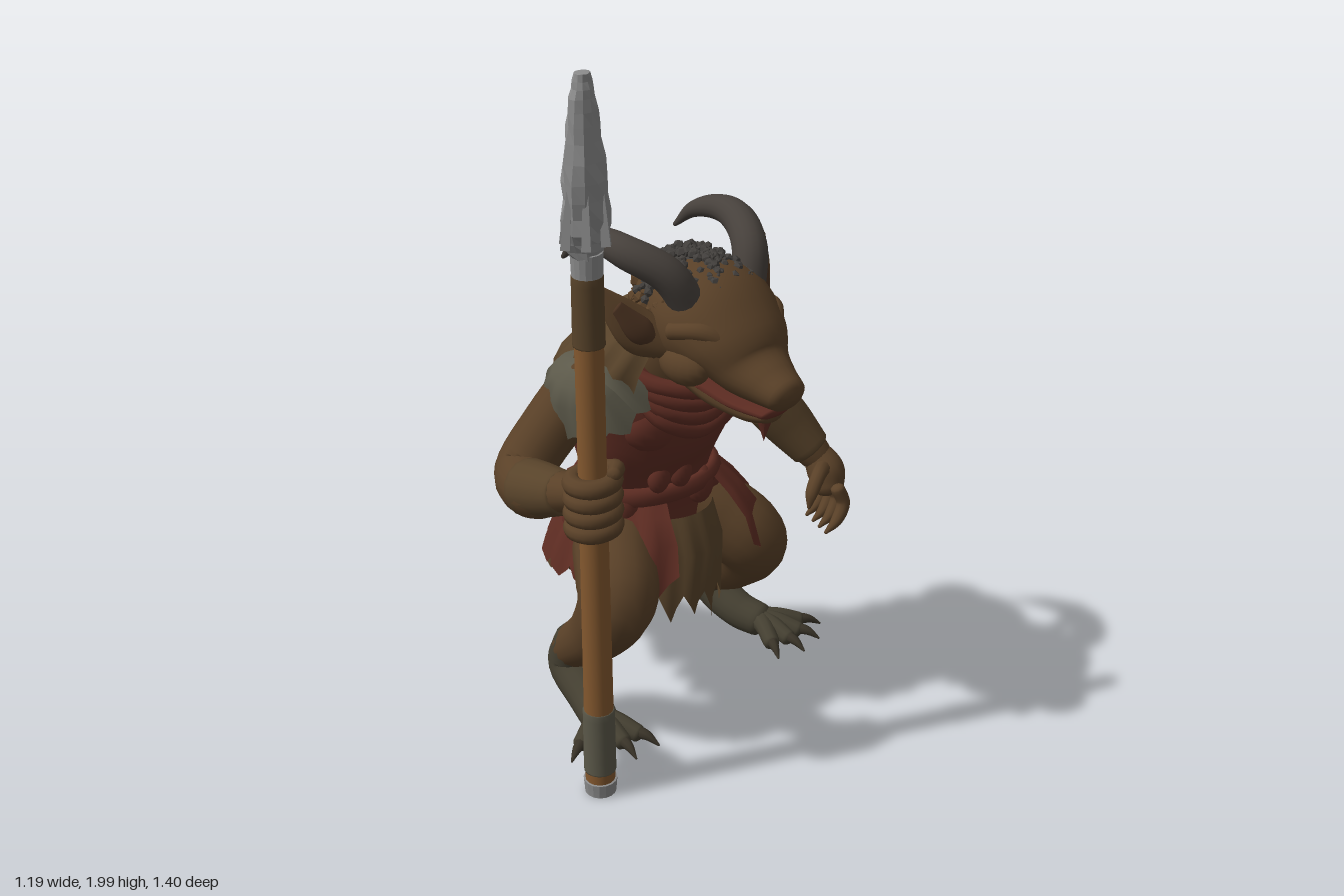
import * as THREE from 'three';
import { mergeGeometries } from 'three/addons/utils/BufferGeometryUtils.js';

const V = (x, y, z) => new THREE.Vector3(x, y, z);
const paint = (color, extra = {}) => Object.assign(new THREE.MeshStandardMaterial({ color }), extra);
const skin = paint(0x5a4128), dark = paint(0x443f31), cloth = paint(0x5f2d23, { side: THREE.DoubleSide });
const hide = paint(0x58432a, { side: THREE.DoubleSide }), horn = paint(0x47413c), hair = paint(0x423f3c, { flatShading: true });
const wood = paint(0x85592f), metal = paint(0x8c8c8c, { flatShading: true }), black = paint(0x1c1612);
const greyHide = paint(0x5c594a, { side: THREE.DoubleSide }), claw = paint(0x393328), inner = paint(0x48301f);

export function createModel() {
  const model = new THREE.Group();
  let seed = 7;
  const rand = () => (seed = (seed * 16807) % 2147483647) / 2147483647;

  function add(name, geometry, mat, pos = [0, 0, 0], rot = [0, 0, 0], scale = [1, 1, 1]) {
    const m = new THREE.Mesh(geometry, mat);
    m.name = name;
    m.position.set(...pos);
    m.rotation.set(...rot);
    m.scale.set(...scale);
    model.add(m);
    return m;
  }
  const ball = (name, mat, pos, scale) => add(name, new THREE.SphereGeometry(1, 18, 12), mat, pos, [0, 0, 0], scale);

  function surface(name, mat, pos, idx) {
    const g = new THREE.BufferGeometry();
    g.setAttribute('position', new THREE.Float32BufferAttribute(pos, 3));
    g.setIndex(idx);
    g.computeVertexNormals();
    return add(name, g, mat);
  }

  // Smooth body swept through points [x, y, z, side radius, radius along up]
  function loft(name, mat, pts, { up = null, seg = 16, cap = 0.6, rough = 0, steps = pts.length * 5 } = {}) {
    const path = new THREE.CatmullRomCurve3(pts.map(p => V(p[0], p[1], p[2])));
    const radii = new THREE.CatmullRomCurve3(pts.map(p => V(p[3], p[4] ?? p[3], 0)), false, 'catmullrom');
    const rings = [];
    for (let k = 0; k < 4; k++) rings.push([0, -Math.cos(k * Math.PI / 8), Math.sin(k * Math.PI / 8)]);
    for (let i = 0; i <= steps; i++) rings.push([i / steps, 0, 1]);
    for (let k = 3; k >= 0; k--) rings.push([1, Math.cos(k * Math.PI / 8), Math.sin(k * Math.PI / 8)]);
    const pos = [], idx = [];
    let n = up ? V(...up) : null;
    rings.forEach(([t, off, s], i) => {
      const c = path.getPoint(t), T = path.getTangent(t), r = radii.getPoint(t);
      if (!n) n = Math.abs(T.y) > 0.8 ? V(0, 0, 1) : V(0, 1, 0);
      if (up) n.set(...up);
      n.addScaledVector(T, -n.dot(T)).normalize();
      const b = T.clone().cross(n);
      c.addScaledVector(T, off * cap * Math.min(r.x, r.y));
      for (let j = 0; j < seg; j++) {
        const a = j / seg * 2 * Math.PI, k = s * (1 + rough * (rand() - 0.5));
        const p = c.clone().addScaledVector(n, Math.cos(a) * k * Math.max(r.y, 0.002))
          .addScaledVector(b, Math.sin(a) * k * Math.max(r.x, 0.002));
        pos.push(p.x, p.y, p.z);
        if (i < rings.length - 1) {
          const A = i * seg + j, B = i * seg + (j + 1) % seg;
          idx.push(A, B, A + seg, B, B + seg, A + seg);
        }
      }
    });
    return surface(name, mat, pos, idx);
  }

  // Hanging cloth with a torn hem; rows are [y, rx, rz, cz], angle 0 faces the front
  function ragged(name, mat, cx, rows, teeth, depth, a0 = 0, a1 = 2 * Math.PI) {
    const n = teeth * 4, pos = [], idx = [];
    const cuts = Array.from({ length: teeth }, () => 0.5 + 0.6 * rand());
    rows.forEach(([y, rx, rz, cz], i) => {
      for (let j = 0; j <= n; j++) {
        const a = a0 + (a1 - a0) * j / n, fold = 1 + 0.05 * i / rows.length * Math.sin(j * Math.PI / 2);
        const drop = i === rows.length - 1 ? depth * cuts[Math.floor(j / 4) % teeth] * (1 - Math.abs(j % 4 - 2) / 2) : 0;
        pos.push(cx + rx * fold * Math.sin(a), y - drop, cz + rz * fold * Math.cos(a));
        if (i && j) {
          const A = (i - 1) * (n + 1) + j - 1, B = A + n + 1;
          idx.push(A, B, A + 1, A + 1, B, B + 1);
        }
      }
    });
    return surface(name, mat, pos, idx);
  }

  // Many small lumps merged into one mesh; place() gives a centre
  function lumps(name, mat, count, size, place) {
    const list = Array.from({ length: count }, () => {
      const p = place();
      return new THREE.IcosahedronGeometry(size * (0.6 + 0.7 * rand()), 0).rotateX(rand() * 3).rotateY(rand() * 3).translate(p.x, p.y, p.z);
    });
    add(name, mergeGeometries(list), mat);
  }

  // Torso, vest and shawl
  loft('vest', cloth, [[-.02, .6, .1, .19, .15], [-.02, .74, .12, .195, .145], [-.03, .9, .14, .23, .2], [-.03, 1.03, .165, .255, .2],
    [-.04, 1.13, .21, .22, .165], [-.04, 1.2, .27, .12, .11]], { up: [0, 0, 1], seg: 28, cap: 0.3 });
  ragged('shawl', hide, -.04, [[1.3, .08, .07, .29], [1.25, .17, .14, .25], [1.2, .24, .19, .225], [1.13, .29, .215, .195], [1.08, .3, .222, .178], [1.04, .295, .225, .17]],
    14, .03, .8, 5.48);
  for (const s of [-1, 1]) ball('chestMuscle', cloth, [-.03 + s * .09, .95, .27], [.11, .085, .07]);
  for (let i = 0; i < 4; i++)
    loft('scarfFold', cloth, [[-.24 + i * .02, 1.13 - i * .01, .22, .03], [-.17, 1.08 - i * .03, .34, .024], [-.05, 1.06 - i * .04, .39 - i * .008, .026],
      [.08, 1.08 - i * .03, .34, .024], [.17 - i * .02, 1.13 - i * .01, .22, .03]], { seg: 10 });
  for (const [s, x, mat] of [[1, .24, cloth], [-1, -.31, greyHide]]) {
    const p = ragged('shoulderGuard', mat, 0, [[.05, .01, .01, 0], [.04, .06, .08, 0], [0, .1, .125, 0], [-.07, .135, .16, 0]], 10, .05);
    p.position.set(x, 1.1, .2);
    p.rotation.z = -s * .6;
  }

  // Belt, pouches and layered skirt
  add('belt', new THREE.TorusGeometry(.2, .024, 8, 40), cloth, [-.02, .72, .12], [Math.PI / 2, 0, 0], [1.03, .78, 1.2]);
  for (const [x, y, z, r] of [[-.11, .78, .27, .034], [-.04, .78, .28, .034], [-.17, .69, .21, .042], [.06, .7, .25, .042], [.14, .69, .2, .045], [.18, .69, .08, .045], [-.22, .69, .08, .045]])
    ball('pouch', cloth, [x, y, z], [r, r * 1.35, r * .8]);
  ragged('upperSkirt', cloth, .01, [[.72, .2, .155, .12], [.67, .25, .205, .12], [.61, .29, .25, .13], [.53, .32, .28, .125]], 15, .07, .45, 5.83);
  ragged('waistRuff', cloth, -.01, [[.73, .2, .155, .11], [.69, .245, .19, .09], [.65, .26, .205, .08]], 16, .04, 1.2, 5.08);
  for (let i = 0; i < 3; i++)
    ragged('backSkirt', hide, .01, [[.66 - i * .05, .17, .16, .07 - i * .03], [.6 - i * .05, .2, .19, .05 - i * .03], [.54 - i * .06, .21, .2, .035 - i * .03]], 8, .06, 1.75, 4.53);
  ragged('frontFlap', hide, -.02, [[.66, .16, .18, .14], [.56, .175, .225, .14], [.44, .17, .23, .13]], 4, .11, -.75, .75);

  // Neck and head
  const hx = -.065;
  loft('neck', skin, [[-.04, 1.1, .22, .15], [-.05, 1.18, .29, .14], [hx, 1.26, .36, .12]]);
  loft('head', skin, [[hx, 1.28, .2, .06, .06], [hx, 1.285, .26, .125, .12], [hx, 1.285, .35, .16, .14], [hx, 1.27, .43, .172, .14], [hx, 1.23, .51, .152, .105],
    [hx, 1.18, .57, .112, .075], [hx, 1.155, .63, .08, .058], [hx, 1.14, .68, .06, .046]], { up: [0, 1, 0], seg: 24 });
  loft('lowerJaw', skin, [[hx, 1.15, .4, .12, .06], [hx, 1.1, .5, .1, .045], [hx, 1.07, .59, .06, .03], [hx, 1.07, .635, .04, .02]], { up: [0, 1, 0] });
  loft('mouth', cloth, [[hx, 1.135, .48, .125, .02], [hx, 1.1, .57, .093, .018], [hx, 1.08, .645, .05, .014]], { up: [0, 1, 0] });
  add('chinTuft', new THREE.ConeGeometry(.03, .09, 8), cloth, [hx, 1.035, .61], [Math.PI, 0, 0]);
  const hairline = new THREE.Euler(.25, 0, 0);
  lumps('hair', hair, 220, .013, () => {
    const a = rand() * 2 * Math.PI, e = .05 + rand() * 1.5;
    return V(.155 * Math.cos(a) * Math.cos(e), .125 * Math.sin(e), .175 * Math.sin(a) * Math.cos(e)).applyEuler(hairline).add(V(hx, 1.303, .37));
  });
  ball('hairCap', hair, [hx, 1.303, .37], [.152, .12, .17]).rotation.copy(hairline);
  lumps('neckRuff', skin, 110, .02, () => {
    const a = Math.PI * (.85 + 1.3 * rand());
    return V(hx + .15 * Math.cos(a), 1.18 + .16 * rand(), .34 + .14 * Math.sin(a));
  });
  for (const s of [-1, 1]) {
    const at = (x, y, z, ...r) => [hx + s * x, y, z, ...r];
    const lean = s < 0 ? .045 : -.01;
    loft('horn', horn, [at(.1, 1.33, .44, .046), at(.135 + lean * .5, 1.42, .415, .046), at(.175 + lean, 1.47, .34, .043), at(.185 + lean, 1.482, .26, .035),
      at(.175 + lean * 1.4, 1.46, .175, .022), at(.165 + lean * 1.6, 1.405, .115, .006)]);
    loft('ear', skin, [at(.13, 1.22, .4, .035, .03), at(.2, 1.265, .365, .058, .022), at(.25, 1.325, .335, .042, .016), at(.295, 1.395, .3, .006, .005)], { up: [0, 0, 1] });
    loft('innerEar', inner, [at(.17, 1.245, .39, .02, .014), at(.21, 1.275, .376, .036, .014), at(.255, 1.335, .342, .02, .01)], { up: [0, 0, 1] });
    loft('brow', skin, [at(.165, 1.28, .44, .022), at(.12, 1.285, .515, .026), at(.045, 1.225, .58, .02)]);
    ball('eye', black, at(.115, 1.235, .53), [.024, .016, .022]);
    ball('cheek', skin, at(.125, 1.185, .45), [.05, .055, .08]);
    ball('nostril', black, at(.035, 1.155, .692), [.012, .009, .008]);
  }

  // Tail with scattered scales
  const tail = [[.01, .6, .03, .14], [.02, .47, -.08, .135], [.06, .34, -.2, .105], [.12, .27, -.32, .08], [.22, .235, -.44, .064], [.34, .275, -.535, .056],
    [.43, .355, -.605, .052], [.48, .45, -.645, .044], [.45, .55, -.645, .03], [.36, .605, -.6, .012]];
  loft('tail', skin, tail, { steps: 60 });
  const tailPath = new THREE.CatmullRomCurve3(tail.map(p => V(...p)));
  lumps('tailScales', dark, 120, .008, () => {
    const t = .12 + rand() * .8, i = t * (tail.length - 1), k = Math.floor(i), T = tailPath.getTangent(t);
    const r = tail[k][3] + (tail[k + 1][3] - tail[k][3]) * (i - k);
    const d = V(rand() - .5, rand() - .15, rand() - .6);
    d.addScaledVector(T, -d.dot(T)).normalize();
    return tailPath.getPoint(t).addScaledVector(d, r);
  });

  // Legs and clawed feet: thigh to knee, back to the hock, then forward to the toes
  const legs = [
    { leg: [[.09, .6, .1, .12], [.18, .55, .19, .115], [.25, .47, .26, .108], [.285, .36, .18, .085], [.325, .25, .045, .058]],
      foot: [[.325, .28, .06, .06], [.335, .2, .03, .06], [.35, .145, .12, .055], [.37, .13, .19, .05]], dir: .25 },
    { leg: [[-.12, .6, .1, .12], [-.21, .555, .21, .115], [-.275, .48, .29, .108], [-.28, .36, .225, .085], [-.275, .25, .1, .06]],
      foot: [[-.275, .28, .12, .062], [-.275, .2, .09, .06], [-.3, .145, .2, .055], [-.33, .13, .28, .05]], dir: -.4 }];
  for (const { leg, foot, dir } of legs) {
    loft('leg', skin, leg);
    loft('foot', dark, foot);
    const [x, , z] = foot[3];
    for (let i = 0; i < 4; i++) {
      const a = dir + (i - 1.5) * .48, sx = Math.sin(a), cz = Math.cos(a);
      const p = (d, y, r) => [x + sx * d, y, z + cz * d, r];
      loft('toe', dark, [p(-.02, .135, .035), p(.06, .135, .027), p(.12, .12, .024)], { seg: 10 });
      loft('toeClaw', claw, [p(.115, .125, .018), p(.15, .122, .013), p(.185, .104, .003)], { seg: 8 });
    }
  }

  // Left arm hanging with curled fingers
  loft('leftArm', skin, [[.2, 1.08, .19, .09], [.3, .96, .155, .08], [.405, .845, .13, .078], [.47, .74, .18, .068], [.525, .64, .25, .048]]);
  loft('leftBracer', hide, [[.43, .8, .15, .078], [.47, .74, .18, .075], [.515, .66, .235, .06]], { cap: 0.2 });
  loft('leftPalm', skin, [[.525, .65, .245, .042], [.535, .6, .28, .055], [.53, .555, .3, .045]]);
  for (let i = 0; i < 4; i++) {
    const z = .24 + i * .038, x = .56 - i * .014;
    loft('leftFinger', skin, [[x - .01, .575, z, .021], [x + .005, .53, z + .01, .02], [x - .025, .485, z + .015, .017], [x - .07, .46, z + .015, .005]], { seg: 10 });
  }
  loft('leftThumb', skin, [[.515, .62, .29, .024], [.45, .625, .33, .021], [.41, .59, .345, .018], [.395, .55, .35, .005]], { seg: 10 });

  // Spear
  const spear = new THREE.LineCurve3(V(-.43, .01, .4), V(-.54, 2, .475));
  const along = (y, ...r) => { const p = spear.getPoint((y - .01) / 1.99); return [p.x, y, p.z, ...r]; };
  const rod = (name, mat, list, opt = {}) => loft(name, mat, list.map(a => along(...a)), { up: [0, 0, 1], cap: .05, ...opt });
  rod('spearShaft', wood, [[.04, .04], [.5, .038], [1, .036], [1.53, .036]]);
  rod('spearButt', metal, [[.01, .042], [.05, .045]]);
  rod('shaftWrap', greyHide, [[.08, .043], [.27, .042]]);
  rod('upperWrap', hide, [[1.32, .04], [1.5, .039]]);
  rod('spearSocket', metal, [[1.5, .038], [1.56, .04]]);
  rod('spearHead', metal, [[1.55, .04, .035], [1.61, .064, .044], [1.72, .058, .044], [1.85, .048, .038], [1.94, .033, .027], [1.99, .02, .018]],
    { seg: 11, rough: .22, steps: 14 });
  for (let i = 0; i < 6; i++) {
    const a = i * Math.PI / 3, [x, y, z] = along(1.73);
    add('spearFlake', new THREE.ConeGeometry(.016, .3, 4), metal, [x + .045 * Math.cos(a), y, z + .034 * Math.sin(a)], [-.08 * Math.sin(a), 0, .1 * Math.cos(a)]);
  }

  // Right arm and the fist around the shaft
  loft('rightArm', skin, [[-.27, 1.08, .18, .09], [-.35, .96, .125, .08], [-.43, .84, .1, .078], [-.48, .835, .2, .072], [-.49, .88, .32, .055], [-.485, .9, .39, .045]]);
  loft('rightBracer', hide, [[-.475, .835, .18, .077], [-.487, .86, .26, .07], [-.49, .88, .33, .058]], { cap: 0.2 });
  ball('rightPalm', skin, [-.47, .9, .395], [.055, .075, .045]);
  for (let i = 0; i < 4; i++)
    add('rightFinger', new THREE.TorusGeometry(.05, .025, 10, 24), skin, along(.825 + i * .042).slice(0, 3), [Math.PI / 2, .06, 0], [1.05, 1, 1]);
  loft('rightThumb', skin, [[-.43, .95, .4, .025], [-.42, .97, .45, .023], [-.46, .98, .49, .018]], { seg: 10 });
  return model;
}
